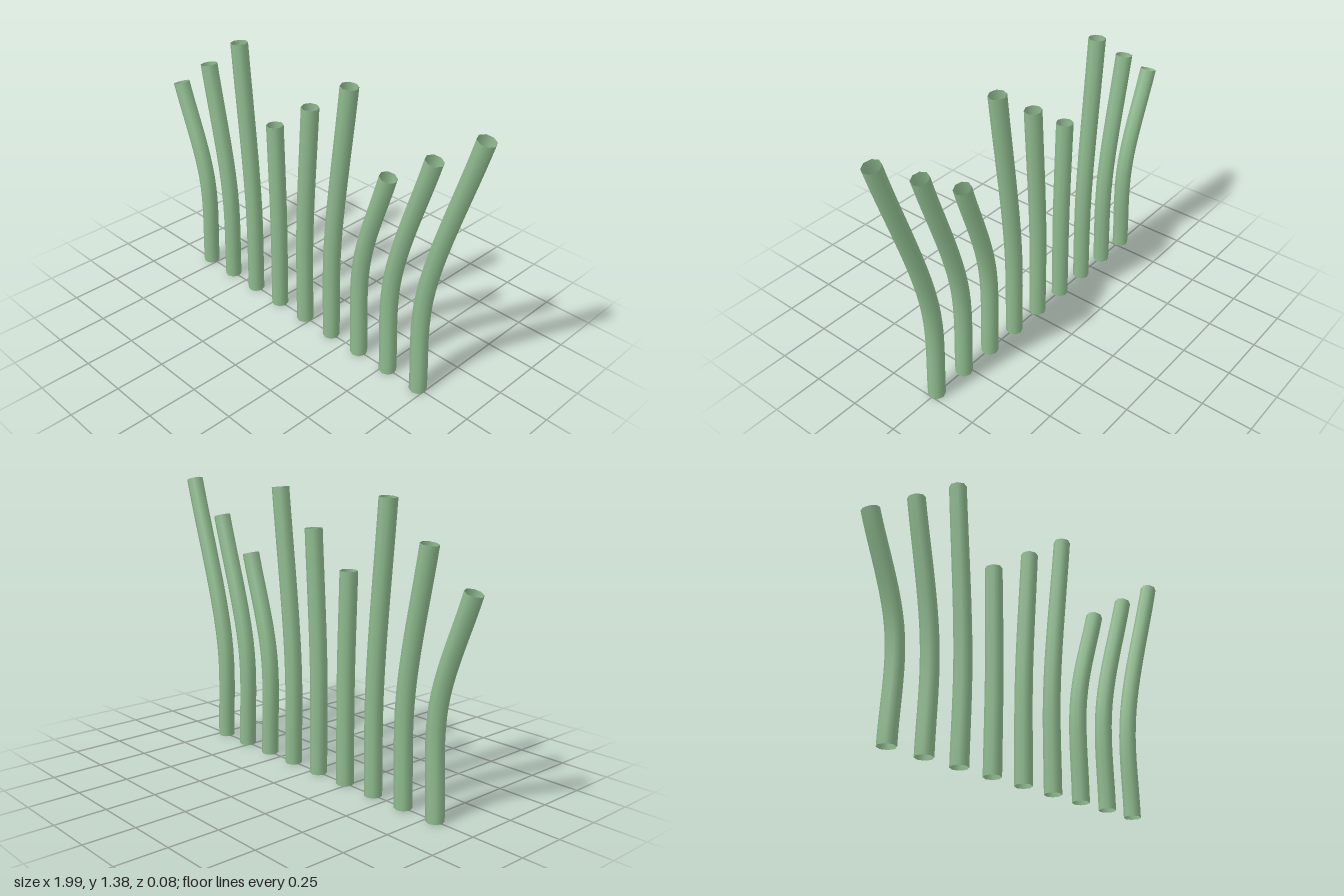
import * as THREE from 'three';

export function createModel() {
  const group = new THREE.Group();
  group.name = 'bentTubes';
  const material = new THREE.MeshStandardMaterial({ color: 0x8fbc8f, side: THREE.DoubleSide });

  const radius = 0.042;
  const bendHeight = 0.514;
  const heights = [1.02, 1.19, 1.365]; // repeating short, medium, tall

  // A row of nine open stalks, upright below the bend and fanning out above it
  for (let i = 0; i < 9; i++) {
    const baseX = -0.791 + 0.1882 * i;
    const topX = -0.957 + 0.2388 * i;
    const path = new THREE.CatmullRomCurve3([
      new THREE.Vector3(baseX, 0, 0),
      new THREE.Vector3(baseX, bendHeight, 0),
      new THREE.Vector3(topX, heights[i % 3], 0),
    ]);
    const stalk = new THREE.Mesh(new THREE.TubeGeometry(path, 20, radius, 8, false), material);
    stalk.name = `stalk${i + 1}`;
    group.add(stalk);
  }
  return group;
}
